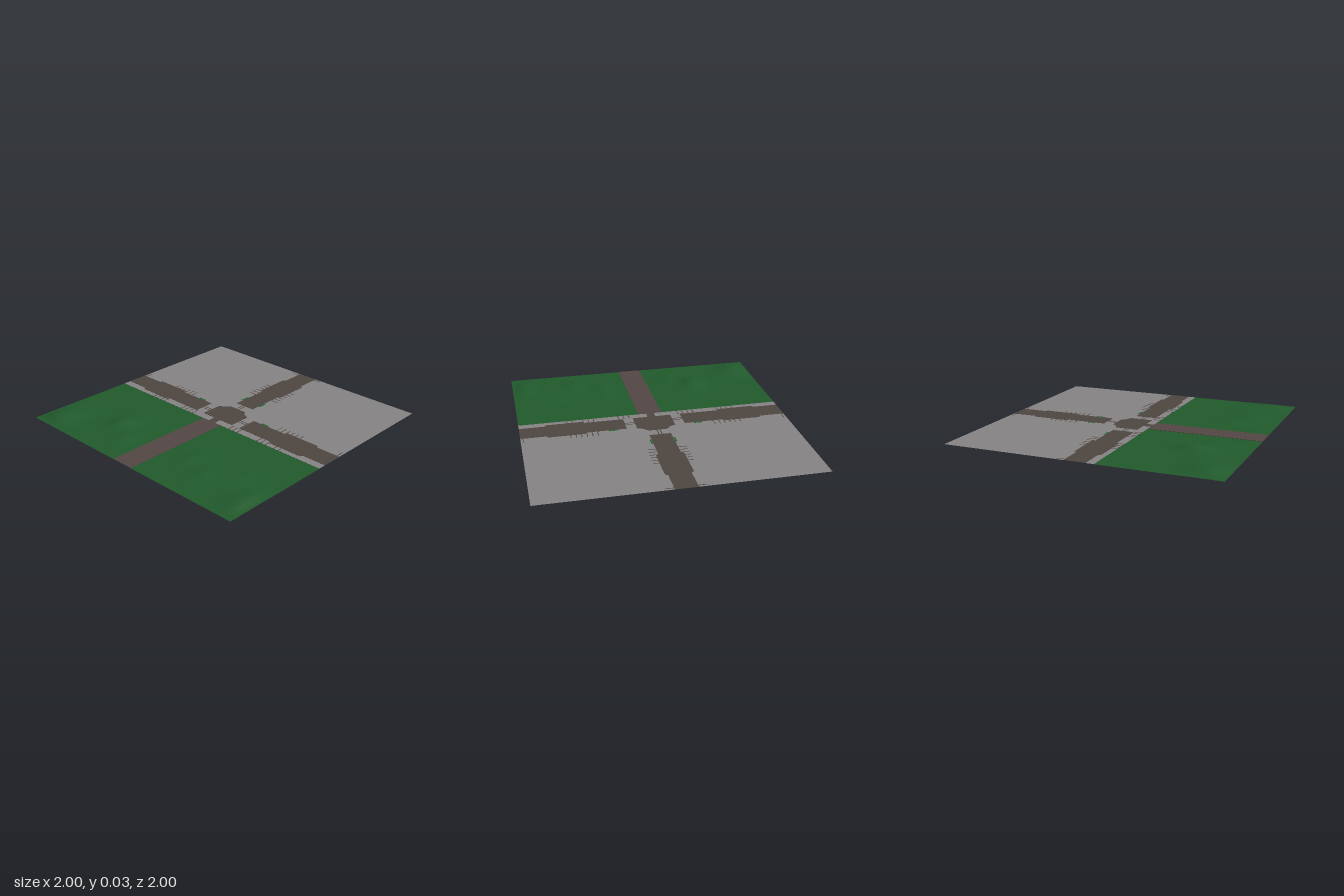
import * as THREE from 'three';

const mat = (name, hex, side = THREE.FrontSide) => {
  const m = new THREE.MeshStandardMaterial({ color: hex, side });
  m.name = name;
  return m;
};

export function createModel() {
  const stone = mat('stone grey', 0x858383, THREE.DoubleSide);
  const paving = mat('paving brown', 0x4e4740);
  const path = mat('path brown', 0x534644);
  const grass = mat('grass green', 0x215a2c, THREE.DoubleSide);
  const hedge = mat('hedge green', 0x1f6a30);

  const model = new THREE.Group();
  model.name = 'crossroadsGround';
  const T = 0.002; // thickness of the laid plates, which show above and below the plaza

  const add = (parent, name, geometry, material) => {
    const mesh = new THREE.Mesh(geometry, material);
    mesh.name = name;
    parent.add(mesh);
    return mesh;
  };
  // Flat plate from a list of [x, z] corners
  const plate = (parent, name, pts, material) => {
    const shape = new THREE.Shape(pts.map(([x, z]) => new THREE.Vector2(x, -z)));
    const g = new THREE.ExtrudeGeometry(shape, { depth: T, bevelEnabled: false });
    return add(parent, name, g.rotateX(-Math.PI / 2), material);
  };
  const rect = (parent, name, x0, x1, z0, z1, material) =>
    add(parent, name, new THREE.BoxGeometry(x1 - x0, T, z1 - z0)
      .translate((x0 + x1) / 2, T / 2, (z0 + z1) / 2), material);
  const mirrored = (half) => [...half, ...half.map(([x, z]) => [-x, z]).reverse()];

  // Stone plaza
  const plaza = new THREE.PlaneGeometry(2, 1.14).rotateX(-Math.PI / 2);
  add(model, 'plaza', plaza.translate(0, T / 2, -0.43), stone);

  // Central paved square with clipped rear corners and a front stub
  plate(model, 'centreSquare', mirrored([
    [0.03, 0.14], [0.03, 0.08], [0.145, 0.08], [0.145, -0.09], [0.1, -0.11], [0.07, -0.145],
  ]), paving);

  // Three paved arms; front is the local side facing the lawn (0 for the rear arm)
  const sideBars = [0.44, 0.48, 0.52, 0.56, 0.6, 0.64, 0.98];
  const arms = [
    { name: 'rearArm', turn: 0, front: 0, frontBars: [] },
    { name: 'leftArm', turn: -Math.PI / 2, front: 1,
      frontBars: [0.17, 0.21, 0.25, 0.44, 0.48, 0.52, 0.6, 0.64] },
    { name: 'rightArm', turn: Math.PI / 2, front: -1,
      frontBars: [0.21, 0.25, 0.29, 0.33, 0.52, 0.56, 0.6, 0.64] },
  ];
  for (const { name, turn, front, frontBars } of arms) {
    const arm = new THREE.Group();
    arm.name = name;
    arm.rotation.y = turn;
    model.add(arm);
    plate(arm, 'armPaving', mirrored([
      [0.08, -0.22], [0.08, -0.52], [0.1, -0.53], [0.1, -0.8], [0.08, -0.81], [0.08, -1],
    ]), paving);
    // Thin bars joining the arm to the centre
    for (const x of [-0.015, 0.008]) {
      rect(arm, 'linkBar', x - 0.003, x + 0.003, -0.22, -0.145, paving);
    }
    // Cross bars and hedge tufts along both edges
    for (const s of [-1, 1]) {
      const isFront = s === front;
      for (const d of isFront ? frontBars : sideBars) {
        rect(arm, 'edgeBar', Math.min(s * 0.08, s * 0.142), Math.max(s * 0.08, s * 0.142),
          -d - 0.003, -d + 0.003, paving);
      }
      if (!isFront) {
        rect(arm, 'hedgeTuft', s * 0.088 - 0.007, s * 0.088 + 0.007, -0.355, -0.29, hedge);
      }
    }
  }

  // Front path
  rect(model, 'frontPath', -0.09, 0.09, 0.14, 1, path);

  // Gently rolling lawns: [x, z, height, radius x, radius z]
  const hills = [
    [-0.86, 0.84, 0.033, 0.12, 0.15], [-0.45, 0.62, 0.033, 0.09, 0.12],
    [-0.27, 0.75, 0.014, 0.07, 0.12], [0.3, 0.65, 0.012, 0.07, 0.13],
    [0.5, 0.75, 0.016, 0.1, 0.14], [0.7, 0.65, 0.012, 0.1, 0.14],
    [0.9, 0.8, 0.022, 0.1, 0.14],
  ];
  const fade = (d, w) => THREE.MathUtils.smoothstep(d, 0, w);
  const height = (x, z) => {
    let h = 0;
    for (const [cx, cz, a, rx, rz] of hills) {
      h += a * Math.exp(-(((x - cx) / rx) ** 2) - ((z - cz) / rz) ** 2);
    }
    return h * fade(1 - z, 0.09) * fade(z - 0.14, 0.1) * fade(Math.abs(x) - 0.09, 0.1)
      * (0.2 + 0.8 * fade(1 - Math.abs(x), 0.08));
  };
  for (const s of [-1, 1]) {
    const g = new THREE.PlaneGeometry(0.91, 0.86, 36, 36).rotateX(-Math.PI / 2);
    g.translate(s * 0.545, 0, 0.57);
    const p = g.attributes.position;
    for (let i = 0; i < p.count; i++) p.setY(i, height(p.getX(i), p.getZ(i)));
    g.computeVertexNormals();
    add(model, s > 0 ? 'leftLawn' : 'rightLawn', g, grass);
  }

  return model;
}
